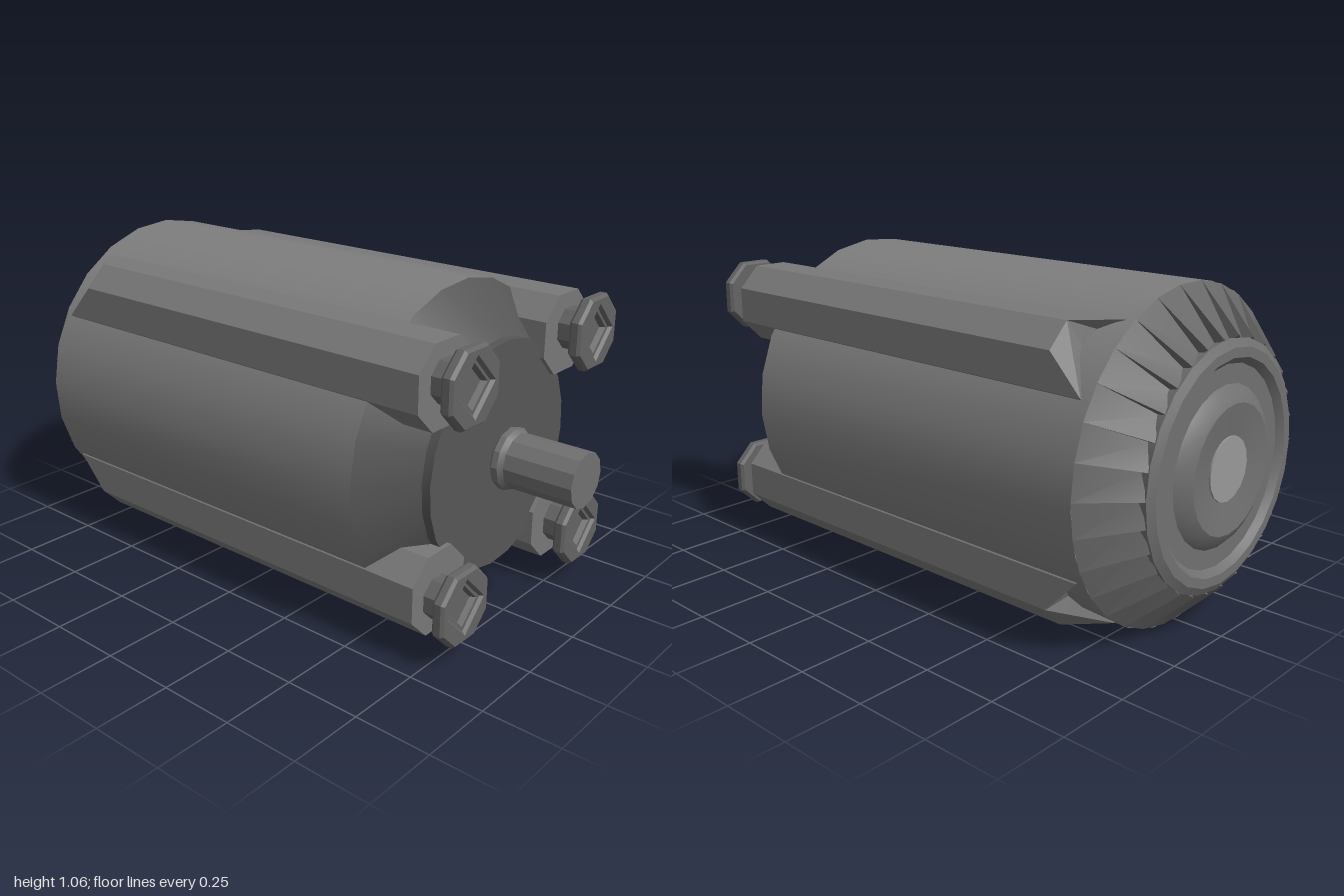
import * as THREE from 'three';
import { toCreasedNormals } from 'three/addons/utils/BufferGeometryUtils.js';

const CENTER_Y = 0.535;
const paint = (color) => new THREE.MeshStandardMaterial({ color });
const casingGrey = paint(0x7e7e7e);
const rodGrey = paint(0x787878);
const coverGrey = paint(0x565656);
const bladeGrey = paint(0x686868);
const screwGrey = paint(0x646464);
const capGrey = paint(0x707070);
const hubGrey = paint(0x989898);

function add(parent, name, geometry, material, x = 0, y = 0, z = 0) {
  const mesh = new THREE.Mesh(toCreasedNormals(geometry, 0.5), material);
  mesh.name = name;
  mesh.position.set(x, y, z);
  parent.add(mesh);
  return mesh;
}

// Turned part along z; profile is [radius, z] from back to front
function turned(profile, sides, phase = 0) {
  const points = profile.map(([r, z]) => new THREE.Vector2(r, z));
  return new THREE.LatheGeometry(points, sides, phase).rotateX(Math.PI / 2);
}

// Sawtooth ring of cooling blades around the back taper
function bladeRing(count) {
  const pos = [];
  const point = (r, z, a) => [r * Math.cos(a), r * Math.sin(a), z];
  const quad = (a, b, c, d) => pos.push(...a, ...b, ...c, ...a, ...c, ...d);
  const step = (Math.PI * 2) / count;
  for (let i = 0; i < count; i++) {
    const a = i * step, b = a + step;
    const outA = point(0.53, -0.83, a), outB = point(0.53, -0.83, b);
    const inA = point(0.39, -0.972, a), lowB = point(0.37, -0.945, b);
    const inB = point(0.39, -0.972, b);
    const rootA = point(0.36, -0.93, a), rootB = point(0.36, -0.93, b);
    quad(outA, inA, lowB, outB); // sloping blade
    pos.push(...outB, ...lowB, ...inB); // step to the next blade
    quad(inA, rootA, rootB, lowB); // inner edge
  }
  const g = new THREE.BufferGeometry();
  g.setAttribute('position', new THREE.Float32BufferAttribute(pos, 3));
  g.computeVertexNormals();
  return g;
}

// Square section with cut corners
function octagon(h, cut) {
  const c = h - cut;
  return new THREE.Shape([[h, -c], [h, c], [c, h], [-c, h], [-h, c], [-h, -c], [-c, -h], [c, -h]]
    .map(([x, y]) => new THREE.Vector2(x, y)));
}

// Long clamping rod, its back end sloping down into the casing
function rod() {
  const g = new THREE.ExtrudeGeometry(octagon(0.13, 0.072), { depth: 1.48, bevelEnabled: false });
  g.translate(0, 0, -0.76);
  const p = g.attributes.position;
  for (let i = 0; i < p.count; i++) {
    if (p.getZ(i) > 0) continue;
    const outward = (p.getX(i) + p.getY(i)) * Math.SQRT1_2;
    p.setZ(i, Math.max(-0.8, -0.77 + 1.45 * (outward - 0.078)));
  }
  g.computeVertexNormals();
  return g;
}

export function createModel() {
  const model = new THREE.Group();
  model.name = 'electricMotor';

  const core = new THREE.Group();
  core.name = 'motorCore';
  core.position.y = CENTER_Y;
  model.add(core);

  // Casing barrel, then the tapered front cover with its flat plate
  add(core, 'casing', turned([[0.35, -0.84], [0.53, -0.83], [0.53, 0.54]], 24, -0.05), casingGrey);
  add(core, 'frontCover', turned([
    [0.53, 0.54], [0.37, 0.675], [0.37, 0.705], [0, 0.705],
  ], 24, -0.05), coverGrey);
  add(core, 'coolingBlades', bladeRing(30), bladeGrey);
  // Back cap with a groove and a shallow hub around a flat disc
  add(core, 'backCap', turned([
    [0.1, -0.985], [0.2, -1], [0.23, -0.985], [0.25, -0.965],
    [0.31, -0.965], [0.33, -0.985], [0.36, -0.985], [0.385, -0.97], [0.37, -0.9],
  ], 24), capGrey);
  add(core, 'hubDisc', turned([[0, -0.99], [0.1, -0.99], [0.1, -0.97]], 16), hubGrey);
  // Output shaft with a collar
  add(core, 'outputShaft', turned([
    [0, 0.725], [0.09, 0.725], [0.1, 0.735], [0.1, 0.755], [0.088, 0.77], [0.088, 1], [0, 1],
  ], 12), capGrey);

  // Four clamping rods, each closed by a socket screw
  for (const sx of [-1, 1]) {
    for (const sy of [-1, 1]) {
      const corner = new THREE.Group();
      corner.name = (sy > 0 ? 'upper' : 'lower') + (sx > 0 ? 'Left' : 'Right') + 'Fastener';
      corner.position.set(sx * 0.33, CENTER_Y + sy * 0.325, 0);
      model.add(corner);

      // Turn the section in quarter steps so the sloped end faces outwards
      const turn = Math.atan2(sy, sx) - Math.PI / 4;
      add(corner, 'clampingRod', rod(), rodGrey).rotation.z = turn;

      const x = sx * 0.01, y = sy * 0.015;
      add(corner, 'screwNeck', turned([[0.07, 0.71], [0.07, 0.79]], 8, Math.PI / 8), screwGrey, x, y);
      // Octagonal head with a stepped diamond socket
      const headShape = octagon(0.112, 0.062);
      const s = 0.09;
      headShape.holes.push(new THREE.Path([[s, 0], [0, -s], [-s, 0], [0, s]]
        .map(([px, py]) => new THREE.Vector2(px, py))));
      add(corner, 'screwHead', new THREE.ExtrudeGeometry(headShape, {
        depth: 0.022, bevelThickness: 0.01, bevelSize: 0.008, bevelOffset: -0.003, bevelSegments: 1,
      }), screwGrey, x, y, 0.795);
      add(corner, 'socket', turned([
        [0, 0.787], [0.095, 0.787], [0.095, 0.815], [0.07, 0.815], [0.06, 0.798], [0, 0.798],
      ], 4), screwGrey, x, y);
    }
  }
  return model;
}
